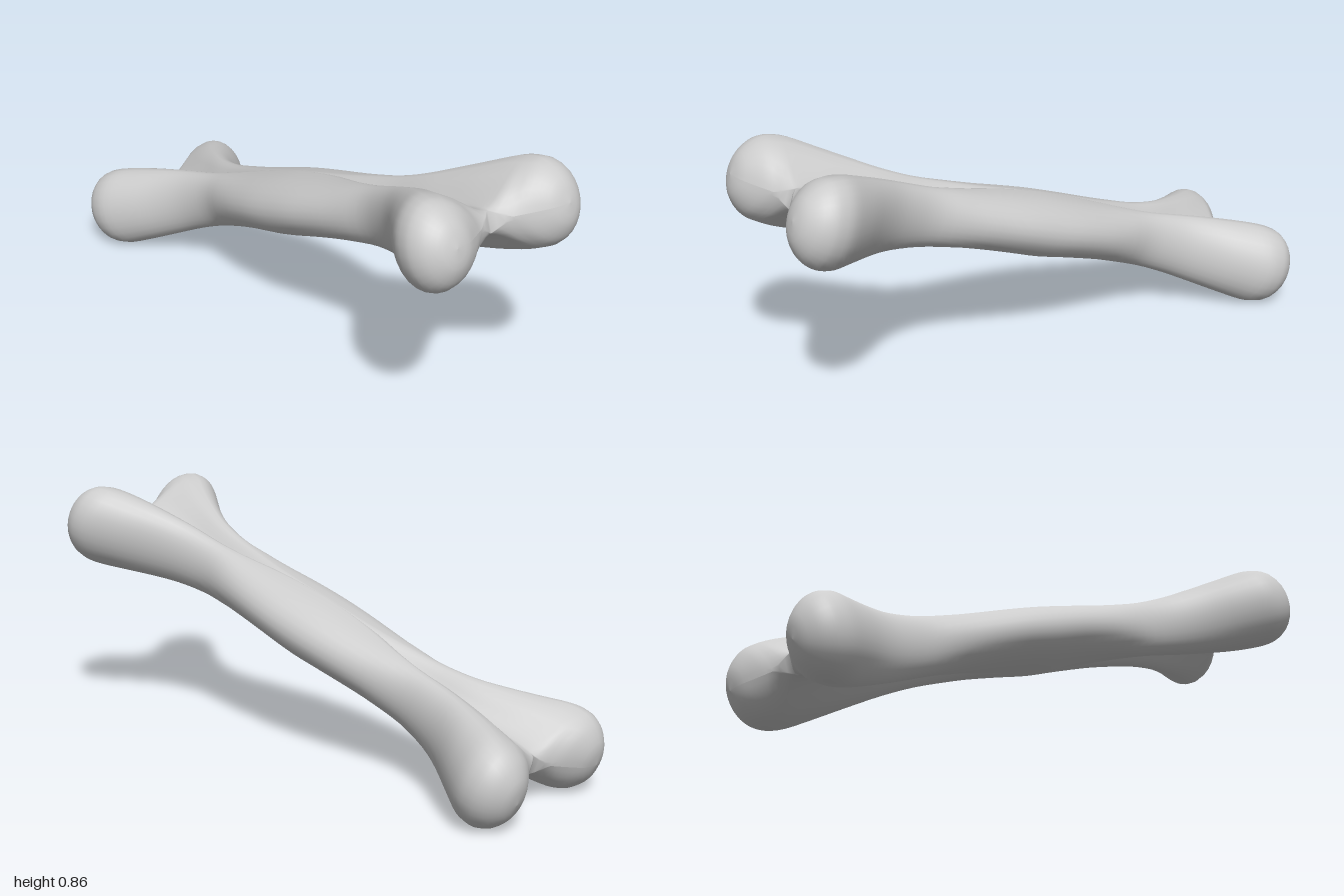
import * as THREE from 'three';

// Stations along one half of the bone:
// distance, inner z, ridge z, outer z, half height, web half height, pinch, rise
const HALF = [
  [0.00, 0.00, 0.004, 0.170, 0.111, 0.111, 1.0, 0.010],
  [0.12, 0.00, 0.008, 0.166, 0.107, 0.106, 1.0, 0.011],
  [0.25, 0.00, 0.022, 0.150, 0.102, 0.096, 1.5, 0.010],
  [0.36, 0.00, 0.040, 0.132, 0.100, 0.076, 2.2, 0.008],
  [0.48, 0.00, 0.055, 0.117, 0.102, 0.054, 3.0, 0.005],
  [0.60, 0.00, 0.075, 0.143, 0.113, 0.046, 3.5, 0.003],
  [0.70, 0.00, 0.110, 0.195, 0.126, 0.045, 4.0, 0.002],
  [0.80, 0.00, 0.155, 0.270, 0.139, 0.045, 4.0, 0.001],
  [0.88, 0.00, 0.200, 0.325, 0.147, 0.044, 4.0, 0.001],
  [0.93, 0.00, 0.220, 0.338, 0.143, 0.034, 3.5, 0.001],
  [0.965, 0.065, 0.226, 0.334, 0.132, 0.000, 1.6, 0.001],
  [1.00, 0.122, 0.228, 0.314, 0.106, 0.000, 1.1, 0.000],
  [1.03, 0.175, 0.229, 0.275, 0.060, 0.000, 1.0, 0.000],
  [1.04, 0.229, 0.229, 0.229, 0.000, 0.000, 1.0, 0.000],
];
const STEPS = 3;   // subdivisions between stations
const QUARTER = 7; // points per quarter of a section
const TILT = Math.atan(0.334);

// The other half is the mirror image along the bone
const STATIONS = [
  ...HALF.slice(1).reverse().map(([u, ...rest]) => [-u, ...rest]),
  ...HALF,
];

function catmull(p0, p1, p2, p3, t) {
  const a = (p2 - p0) / 2, b = (p3 - p1) / 2;
  return p1 + a * t + (3 * (p2 - p1) - 2 * a - b) * t * t + (2 * (p1 - p2) + a + b) * t * t * t;
}

function smoothStations() {
  const n = STATIONS.length, out = [];
  const at = (j) => STATIONS[Math.min(n - 1, Math.max(0, j))];
  for (let i = 0; i < n - 1; i++) {
    for (let s = 0; s < STEPS; s++) {
      out.push(at(i).map((_, k) => catmull(at(i - 1)[k], at(i)[k], at(i + 1)[k], at(i + 2)[k], s / STEPS)));
    }
  }
  out.push(at(n - 1));
  return out;
}

// Upper half of a section, from the groove over the ridge to the outer side
function upperSection([, zi, c, zo, b, w, pinch]) {
  const pts = [], inner = Math.max(0, zi), web = Math.max(0, w);
  for (let k = 0; k <= QUARTER; k++) {
    const a = (1 - k / QUARTER) * Math.PI / 2;
    const fall = Math.pow(Math.max(0, Math.cos(a)), pinch);
    pts.push([k === 0 ? inner : c - (c - inner) * Math.sin(a), web + (b - web) * fall]);
  }
  for (let k = 1; k <= QUARTER; k++) {
    const a = (k / QUARTER) * Math.PI / 2;
    pts.push([c + (zo - c) * Math.sin(a), k === QUARTER ? 0 : b * Math.cos(a)]);
  }
  return pts;
}

// One long lobe of the bone on the given side of z = 0
function lobe(side) {
  const rows = smoothStations(), position = [], index = [];
  const count = 4 * QUARTER + 1;
  for (const row of rows) {
    const upper = upperSection(row);
    const lower = upper.slice(0, -1).reverse().map(([z, v]) => [z, -v]);
    for (const [z, v] of [...upper, ...lower]) position.push(row[0], v + row[7], z * side);
  }
  const tri = (a, b, c) => (side > 0 ? index.push(a, b, c) : index.push(a, c, b));
  for (let i = 0; i < rows.length - 1; i++) {
    // past the notch the knob closes on its inner side too
    const closed = rows[i][1] > 0 || rows[i + 1][1] > 0;
    for (let j = 0; j < (closed ? count : count - 1); j++) {
      const a = i * count + j, b = i * count + (j + 1) % count;
      tri(a, b, a + count);
      tri(b, b + count, a + count);
    }
  }
  const geometry = new THREE.BufferGeometry();
  geometry.setAttribute('position', new THREE.Float32BufferAttribute(position, 3));
  geometry.setIndex(index);
  geometry.rotateZ(TILT);
  geometry.computeVertexNormals();
  // shade the two lobes smoothly into each other where they meet
  const p = geometry.attributes.position, n = geometry.attributes.normal;
  for (let i = 0; i < p.count; i++) if (Math.abs(p.getZ(i)) < 1e-6) n.setZ(i, 0);
  geometry.normalizeNormals();
  return geometry;
}

export function createModel() {
  const group = new THREE.Group();
  group.name = 'bone';
  const material = new THREE.MeshStandardMaterial({ color: 0xcccccc });
  for (const [name, side] of [['frontLobe', 1], ['backLobe', -1]]) {
    const mesh = new THREE.Mesh(lobe(side), material);
    mesh.name = name;
    group.add(mesh);
  }
  // Stand on the ground, centred
  const box = new THREE.Box3().setFromObject(group);
  group.position.set(-(box.min.x + box.max.x) / 2, -box.min.y, 0);
  return group;
}
